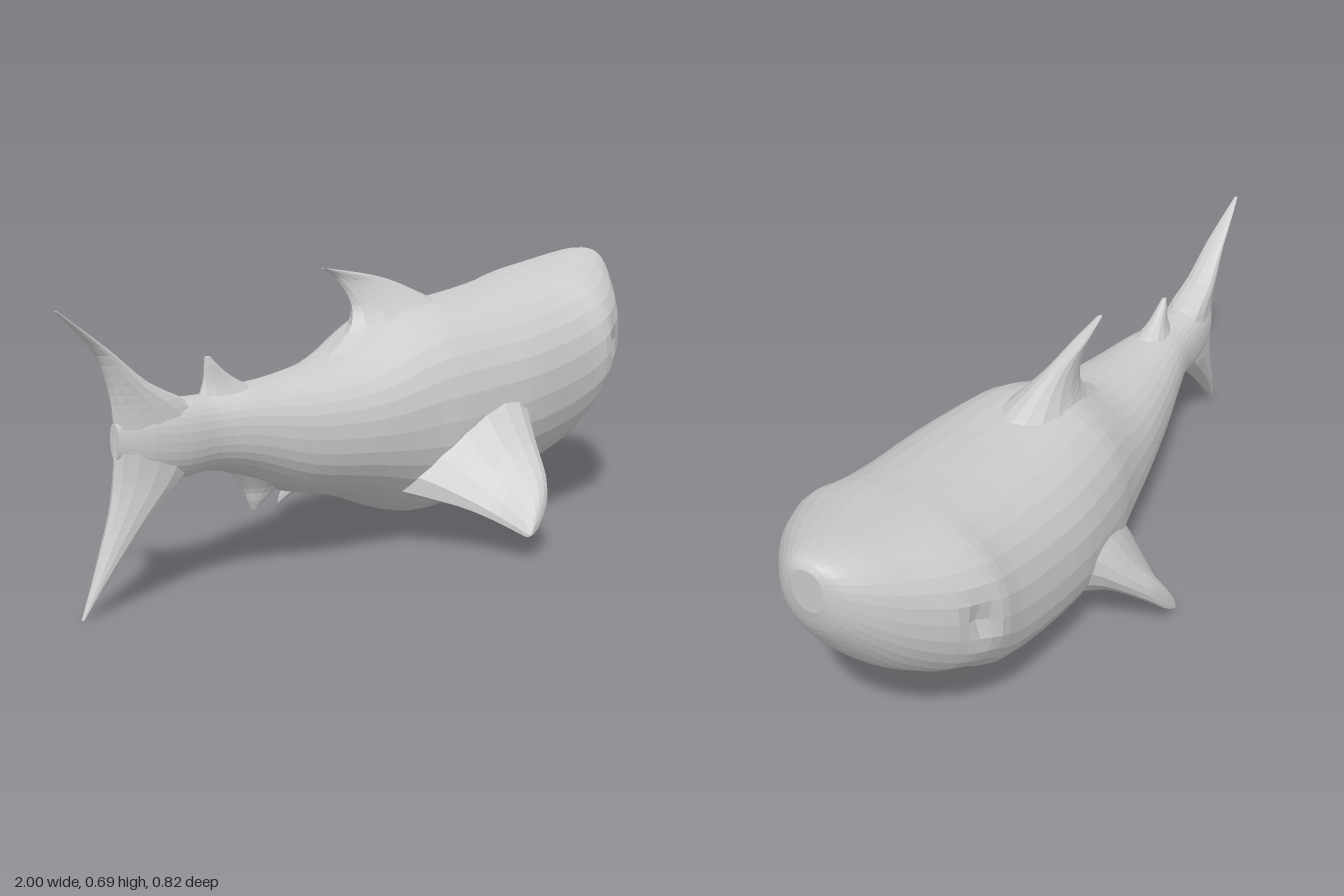
import * as THREE from 'three';

const material = new THREE.MeshStandardMaterial({ color: 0xcccccc, flatShading: true });
const MID = -0.045; // z of the body's mid plane

// Smoothly interpolate table rows, with the given steps between each pair.
function smoothRows(rows, steps) {
  const out = [];
  for (let i = 0; i < rows.length - 1; i++) {
    const a = rows[Math.max(i - 1, 0)], b = rows[i], c = rows[i + 1];
    const d = rows[Math.min(i + 2, rows.length - 1)];
    for (let s = 0; s < steps; s++) {
      const t = s / steps;
      out.push(b.map((v, k) => v + 0.5 * t * (c[k] - a[k]
        + t * (2 * a[k] - 5 * v + 4 * c[k] - d[k] + t * (3 * (v - c[k]) + d[k] - a[k])))));
    }
  }
  out.push(rows[rows.length - 1]);
  return out;
}

// Skin closed rings of points, cap both ends and face everything outward.
function loft(name, rings) {
  const n = rings[0].length, points = rings.flat(), index = [];
  for (let i = 0; i < rings.length - 1; i++) {
    for (let j = 0; j < n; j++) {
      const a = i * n + j, b = i * n + (j + 1) % n;
      index.push(a, b, a + n, b, b + n, a + n);
    }
  }
  const addCap = (ring, start, flip) => {
    const centre = ring.reduce((s, p) => s.add(p), new THREE.Vector3()).divideScalar(n);
    const c = points.push(centre) - 1;
    for (let j = 0; j < n; j++) {
      const a = start + j, b = start + (j + 1) % n;
      index.push(c, flip ? b : a, flip ? a : b);
    }
  };
  addCap(rings[0], 0, true);
  addCap(rings[rings.length - 1], (rings.length - 1) * n, false);
  let volume = 0;
  const cross = new THREE.Vector3();
  for (let i = 0; i < index.length; i += 3) {
    volume += points[index[i]].dot(cross.crossVectors(points[index[i + 1]], points[index[i + 2]]));
  }
  if (volume < 0) index.reverse();
  const geometry = new THREE.BufferGeometry().setFromPoints(points);
  geometry.setIndex(index);
  geometry.computeVertexNormals();
  const mesh = new THREE.Mesh(geometry, material);
  mesh.name = name;
  return mesh;
}

// Body stations: x, bottom y, top y, centre z, half width.
function makeBody() {
  const stations = smoothRows([
    [-0.855, 0.33, 0.41, -0.05, 0.014],
    [-0.78, 0.28, 0.44, -0.05, 0.05],
    [-0.69, 0.262, 0.445, -0.048, 0.067],
    [-0.60, 0.266, 0.44, -0.048, 0.073],
    [-0.50, 0.24, 0.448, -0.047, 0.1],
    [-0.36, 0.178, 0.453, -0.045, 0.138],
    [-0.20, 0.14, 0.472, -0.045, 0.177],
    [-0.10, 0.106, 0.505, -0.045, 0.198],
    [0.0, 0.068, 0.555, -0.045, 0.22],
    [0.10, 0.052, 0.585, -0.045, 0.247],
    [0.30, 0.083, 0.594, -0.042, 0.275],
    [0.48, 0.108, 0.612, -0.043, 0.273],
    [0.60, 0.145, 0.63, -0.043, 0.272],
    [0.68, 0.208, 0.645, -0.043, 0.276],
    [0.76, 0.248, 0.657, -0.046, 0.247],
    [0.84, 0.31, 0.67, -0.05, 0.199],
    [0.90, 0.375, 0.679, -0.057, 0.155],
    [0.95, 0.445, 0.683, -0.06, 0.113],
    [0.983, 0.505, 0.68, -0.06, 0.076],
    [0.998, 0.56, 0.664, -0.06, 0.04],
  ], 3);
  const n = 32, power = 2 / 2.25;
  const bend = (v) => Math.sign(v) * Math.abs(v) ** power;
  const rings = stations.map(([x, low, high, z, half]) => {
    const ring = [];
    for (let j = 0; j < n; j++) {
      const a = (j / n) * Math.PI * 2;
      const p = new THREE.Vector3(x,
        (low + high) / 2 + bend(Math.sin(a)) * (high - low) / 2,
        z + bend(Math.cos(a)) * half);
      // shallow eye sockets and a mouth crease
      const side = Math.abs(p.z - MID);
      if (side > 0.12) {
        const eye = Math.exp(-(((p.x - 0.73) / 0.035) ** 2) - ((p.y - 0.44) / 0.045) ** 2);
        p.z -= Math.sign(p.z - MID) * 0.025 * eye;
      } else if (p.y < 0.4) {
        const mouth = Math.exp(-(((p.x - 0.78) / 0.025) ** 2) - (side / 0.1) ** 2);
        p.x -= 0.012 * mouth;
        p.y += 0.012 * mouth;
      }
      ring.push(p);
    }
    return ring;
  });
  return loft('body', rings);
}

// Fin stations: leading x, y, z, trailing x, y, z, half thickness.
function makeFin(name, rows, flatToSide) {
  const n = 14;
  const rings = smoothRows(rows, 3).map(([lx, ly, lz, tx, ty, tz, thick]) => {
    const lead = new THREE.Vector3(lx, ly, lz), trail = new THREE.Vector3(tx, ty, tz);
    const chord = lead.clone().sub(trail).multiplyScalar(0.5);
    const normal = flatToSide ? new THREE.Vector3(0, 0, 1)
      : new THREE.Vector3(-chord.y, chord.x, 0).normalize();
    const middle = lead.add(trail).multiplyScalar(0.5);
    return Array.from({ length: n }, (_, j) => {
      const a = (j / n) * Math.PI * 2;
      return middle.clone().addScaledVector(chord, Math.cos(a))
        .addScaledVector(normal, Math.sin(a) * thick * (1 + 0.3 * Math.cos(a)));
    });
  });
  return loft(name, rings);
}

// Upright fin stations: y, leading x, trailing x, z, half thickness.
const uprightFin = (name, rows) =>
  makeFin(name, rows.map(([y, lead, trail, z, t]) => [lead, y, z, trail, y, z, t]), true);

// Paddle fins, pitched nose up, with roots flaring into the body.
// Towards the tip a fin may be cut short, swept back and dropped.
function makePectoral(name, side, cut, sweep, drop) {
  const rows = [
    // distance out, leading x, y, trailing x, y, half thickness
    [0.12, 0.44, 0.42, -0.08, 0.15, 0.13],
    [0.21, 0.36, 0.37, -0.035, 0.13, 0.105],
    [0.28, 0.28, 0.312, 0.0, 0.112, 0.066],
    [0.345, 0.225, 0.246, 0.025, 0.09, 0.04],
    [0.415, 0.168, 0.18, 0.038, 0.066, 0.026],
    [0.445, 0.125, 0.13, 0.043, 0.056, 0.018],
    [0.456, 0.085, 0.09, 0.05, 0.06, 0.007],
  ];
  return makeFin(name, rows.map(([d, lx, ly, tx, ty, t]) => {
    const f = d / 0.455, k = f ** 3, z = MID + side * (d - cut * k);
    return [lx - 1.5 * sweep * k, ly - drop * k, z, tx - sweep * k, ty - drop * f, z, t];
  }), false);
}

export function createModel() {
  const model = new THREE.Group();
  model.name = 'shark';
  model.add(
    makeBody(),
    makePectoral('leftPectoralFin', 1, 0, 0, 0),
    makePectoral('rightPectoralFin', -1, 0.09, 0.03, 0.034),
    uprightFin('dorsalFin', [
      [0.46, 0.40, -0.20, -0.05, 0.17],
      [0.53, 0.32, -0.09, -0.055, 0.11],
      [0.58, 0.26, -0.062, -0.065, 0.066],
      [0.62, 0.175, -0.068, -0.075, 0.037],
      [0.65, 0.095, -0.088, -0.082, 0.022],
      [0.672, -0.005, -0.11, -0.085, 0.016],
      [0.692, -0.135, -0.152, -0.085, 0.006],
    ]),
    uprightFin('rearDorsalFin', [
      [0.39, -0.38, -0.63, -0.045, 0.07],
      [0.445, -0.46, -0.605, -0.045, 0.035],
      [0.475, -0.515, -0.595, -0.045, 0.02],
      [0.505, -0.555, -0.592, -0.045, 0.012],
      [0.525, -0.575, -0.59, -0.045, 0.006],
    ]),
    uprightFin('analFin', [
      [0.26, -0.28, -0.52, -0.045, 0.08],
      [0.20, -0.36, -0.475, -0.045, 0.032],
      [0.17, -0.405, -0.462, -0.045, 0.018],
      [0.147, -0.437, -0.45, -0.045, 0.006],
    ]),
    // crescent tail
    uprightFin('tailFin', [
      [0.0, -0.962, -0.967, -0.04, 0.004],
      [0.07, -0.9, -0.935, -0.042, 0.016],
      [0.14, -0.83, -0.905, -0.045, 0.028],
      [0.21, -0.752, -0.878, -0.047, 0.039],
      [0.28, -0.66, -0.862, -0.05, 0.05],
      [0.36, -0.61, -0.856, -0.05, 0.055],
      [0.43, -0.645, -0.858, -0.05, 0.05],
      [0.49, -0.765, -0.868, -0.052, 0.038],
      [0.56, -0.855, -0.895, -0.053, 0.026],
      [0.62, -0.935, -0.952, -0.055, 0.014],
      [0.662, -0.993, -1.0, -0.055, 0.004],
    ]),
  );
  return model;
}
